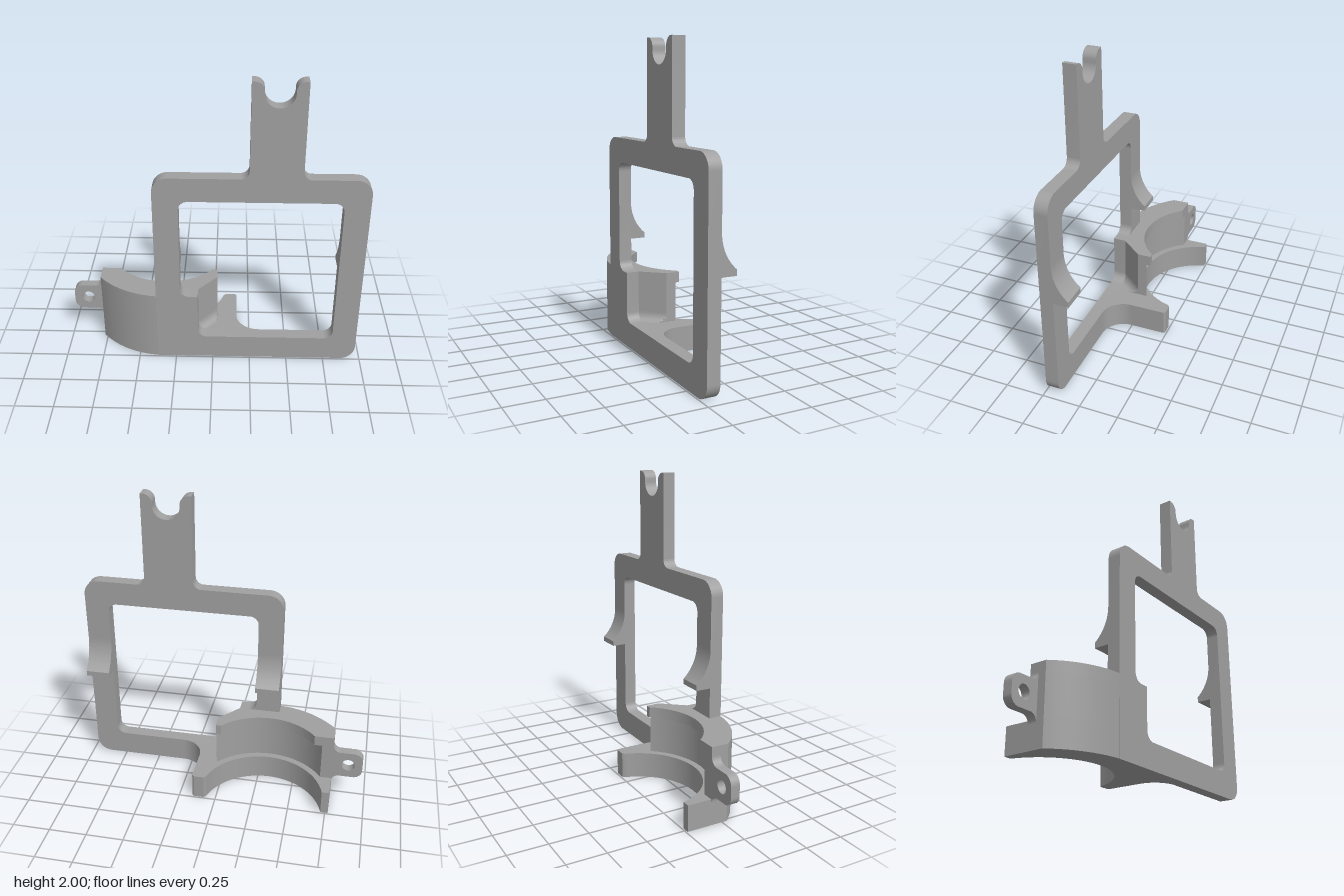
import * as THREE from 'three';
import { toCreasedNormals } from 'three/addons/utils/BufferGeometryUtils.js';

const FRONT = 0.24, BACK = 0.155;          // z of the frame plate faces
const CX = -0.325, CZ = -0.337;            // axis of the curved cradle
const OUTER = 0.578, INNER = 0.407, GROOVE = 0.45;

const grey = new THREE.MeshStandardMaterial({ color: 0xa0a0a0 });
grey.name = 'grey plastic';

function part(name, geometry) {
  const mesh = new THREE.Mesh(toCreasedNormals(geometry, 0.5), grey);
  mesh.name = name;
  return mesh;
}

function extrude(shape, depth, steps = 1) {
  return new THREE.ExtrudeGeometry(shape, { depth, steps, bevelEnabled: false, curveSegments: 24 });
}

// Draws a closed outline of [x, y, cornerRadius] points into a Shape or Path
function roundedOutline(path, points) {
  const n = points.length;
  points.forEach(([x, y, r = 0], i) => {
    const toward = ([px, py]) => {
      const d = Math.hypot(px - x, py - y);
      return [x + (px - x) * r / d, y + (py - y) * r / d];
    };
    const a = toward(points[(i + n - 1) % n]), b = toward(points[(i + 1) % n]);
    if (i === 0) path.moveTo(...a); else path.lineTo(...a);
    if (r) {
      // circular corner between two perpendicular edges
      const cx = a[0] + b[0] - x, cy = a[1] + b[1] - y;
      const a0 = Math.atan2(a[1] - cy, a[0] - cx), a1 = Math.atan2(b[1] - cy, b[0] - cx);
      path.absarc(cx, cy, r, a0, a1, Math.sin(a1 - a0) < 0);
    }
  });
  path.closePath();
  return path;
}

// Plan outline (x, z) raised from y0 to y1
function slab(shape, y0, y1) {
  return extrude(shape, y1 - y0).rotateX(Math.PI / 2).translate(0, y1, 0);
}

// Outer curved wall of the cradle, from its back edge to the frame plate
function startCradle(backZ) {
  const s = new THREE.Shape();
  s.moveTo(-0.77, backZ);
  s.lineTo(-0.77, 0.032);
  s.absarc(CX, CZ, OUTER, Math.atan2(0.369, -0.445), Math.atan2(0.577, -0.05), true);
  s.lineTo(-0.375, FRONT);
  s.lineTo(-0.375, BACK);
  return s;
}

// Inner arc, running from z0 on the right side to z1 on the left side
function innerArc(s, r, z0, z1) {
  s.absarc(CX, CZ, r, Math.asin((z0 - CZ) / r), Math.PI - Math.asin((z1 - CZ) / r), false);
  s.closePath();
}

function framePlate() {
  const f = 0.055;
  const s = new THREE.Shape();
  s.moveTo(-0.375, 0);
  s.lineTo(0.865, 0);
  s.absarc(0.865, 0.1, 0.1, -Math.PI / 2, 0, false);
  s.lineTo(0.965, 1.28);
  s.absarc(0.865, 1.28, 0.1, 0, Math.PI / 2, false);
  // stem with a forked end
  s.lineTo(0.545 + f, 1.38);
  s.absarc(0.545 + f, 1.38 + f, f, -Math.PI / 2, -Math.PI, true);
  s.lineTo(0.545, 2);
  s.lineTo(0.53, 2);
  s.absarc(0.53, 1.942, 0.058, Math.PI / 2, Math.PI, false);
  s.lineTo(0.472, 1.929);
  s.absarc(0.383, 1.929, 0.089, 0, -Math.PI, true);
  s.lineTo(0.294, 1.942);
  s.absarc(0.236, 1.942, 0.058, 0, Math.PI / 2, false);
  s.lineTo(0.22, 2);
  s.lineTo(0.22, 1.38 + f);
  s.absarc(0.22 - f, 1.38 + f, f, 0, -Math.PI / 2, true);
  s.lineTo(-0.275, 1.38);
  s.absarc(-0.275, 1.28, 0.1, Math.PI / 2, Math.PI, false);
  s.closePath();
  // window, stepped around the cradle
  s.holes.push(roundedOutline(new THREE.Path(), [
    [-0.10, 0.17, 0.06], [-0.10, 0.5], [-0.215, 0.5, 0.06],
    [-0.215, 1.22, 0.06], [0.805, 1.22, 0.06], [0.805, 0.17, 0.06],
  ]));
  return extrude(s, FRONT - BACK).translate(0, 0, BACK);
}

function cradleBase() {
  const s = startCradle(-0.24);
  s.lineTo(0.31, BACK);
  s.absarc(0.31, BACK - 0.15, 0.15, Math.PI / 2, Math.PI, false);
  s.lineTo(0.16, -0.23);
  s.lineTo(0.15, -0.24);
  s.lineTo(0.08, -0.24);
  innerArc(s, INNER, -0.225, -0.24);
  return slab(s, 0, 0.17);
}

function cradleWall(r, tipZ, y0, y1) {
  const s = startCradle(-0.08);
  s.lineTo(-0.10, BACK);
  s.lineTo(0.025, 0.01);
  s.lineTo(0.025, tipZ);
  innerArc(s, r, tipZ, -0.08);
  return slab(s, y0, y1);
}

// Small fillet at the foot of the slanted cradle end
function cradleFillet() {
  const r = 0.06, s = new THREE.Shape();
  s.moveTo(-0.10, 0.17);
  s.lineTo(-0.10 + r, 0.17);
  s.absarc(-0.10 + r, 0.17 + r, r, -Math.PI / 2, -Math.PI, true);
  s.closePath();
  const g = extrude(s, BACK - 0.01, 10).translate(0, 0, 0.01);
  const p = g.attributes.position;
  for (let i = 0; i < p.count; i++) {
    p.setX(i, Math.min(0.025, p.getX(i) + (BACK - p.getZ(i)) * 0.862));
  }
  g.computeVertexNormals();
  return g;
}

// Eyelet tab with flared root
function sideTab() {
  const f = 0.05, s = new THREE.Shape();
  s.moveTo(-0.765, 0.2 - f);
  s.lineTo(-0.77, 0.2 - f);
  s.absarc(-0.77 - f, 0.2 - f, f, 0, Math.PI / 2, false);
  s.lineTo(-0.91, 0.2);
  s.absarc(-0.91, 0.26, 0.06, -Math.PI / 2, -Math.PI, true);
  s.lineTo(-0.97, 0.33);
  s.absarc(-0.91, 0.33, 0.06, Math.PI, Math.PI / 2, true);
  s.lineTo(-0.77 - f, 0.39);
  s.absarc(-0.77 - f, 0.39 + f, f, -Math.PI / 2, 0, false);
  s.lineTo(-0.765, 0.39 + f);
  s.closePath();
  s.holes.push(new THREE.Path().absarc(-0.875, 0.295, 0.043, 0, Math.PI * 2, false));
  return extrude(s, 0.06).translate(0, 0, -0.08);
}

// Hook profile in (z, y), swept across one upright
function hook(rightX) {
  const s = new THREE.Shape();
  s.moveTo(BACK, 0.70);
  s.lineTo(BACK, 0.95);
  s.bezierCurveTo(0.155, 0.86, 0.115, 0.785, 0.057, 0.735);
  s.lineTo(0.057, 0.70);
  s.closePath();
  return extrude(s, 0.16).rotateY(-Math.PI / 2).translate(rightX, 0, 0);
}

export function createModel() {
  const model = new THREE.Group();
  model.name = 'mountingBracket';
  model.add(
    part('framePlate', framePlate()),
    part('cradleBase', cradleBase()),
    part('cradleWall', cradleWall(GROOVE, -0.054, 0.17, 0.43)),
    part('cradleLip', cradleWall(INNER, -0.08, 0.43, 0.5)),
    part('cradleFillet', cradleFillet()),
    part('sideTab', sideTab()),
    part('rightHook', hook(-0.215)),
    part('leftHook', hook(0.965)),
  );
  return model;
}
